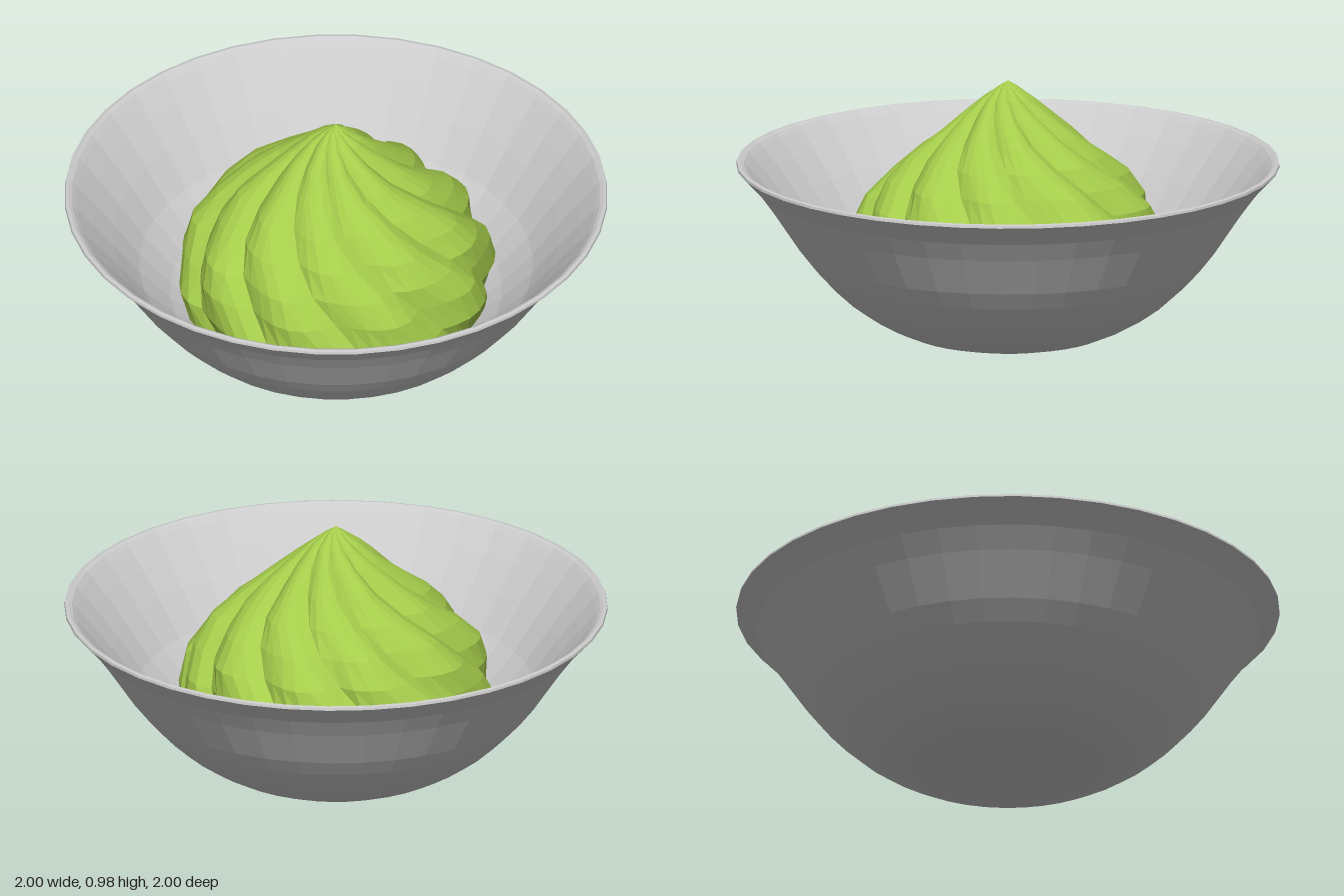
import * as THREE from 'three';

const LOBES = 10, STEPS = 6, TWIST = 2;

// Bowl: outer wall up, rounded lip, inner wall down to the floor
function makeBowl() {
  const profile = [
    [0, 0], [0.2, 0], [0.28, 0.012], [0.37, 0.035], [0.45, 0.07], [0.52, 0.11], [0.59, 0.16], [0.655, 0.22],
    [0.715, 0.285], [0.77, 0.355], [0.82, 0.43], [0.87, 0.505], [0.925, 0.58], [0.985, 0.645],
    [1, 0.66], [0.998, 0.669], [0.985, 0.672], [0.972, 0.665],
    [0.955, 0.647], [0.895, 0.575], [0.82, 0.48], [0.725, 0.35], [0.61, 0.23], [0.49, 0.135], [0.36, 0.07], [0.2, 0.035], [0, 0.035],
  ].map((p) => new THREE.Vector2(...p));
  const bowl = new THREE.Mesh(
    new THREE.LatheGeometry(profile, 40),
    new THREE.MeshStandardMaterial({ color: 0xcccccc, flatShading: true }));
  bowl.name = 'bowl';
  return bowl;
}

// Piped swirl: twisted rings of lobes shrinking towards a pointed tip
function makeSwirl() {
  // radius, height and lobe depth of each ring, from the tucked-in foot to the tip
  const rings = [[0.3, 0.06, 0.04], [0.46, 0.14, 0.04], [0.56, 0.23, 0.045], [0.585, 0.33, 0.06],
    [0.565, 0.44, 0.08], [0.525, 0.53, 0.1], [0.45, 0.62, 0.12], [0.36, 0.7, 0.14],
    [0.255, 0.78, 0.16], [0.165, 0.855, 0.16], [0.095, 0.915, 0.15], [0.04, 0.955, 0.13]];
  const sides = LOBES * STEPS;
  const positions = [], index = [];
  rings.forEach(([r, y, depth], j) => {
    const turn = -TWIST * Math.pow(1 - j / (rings.length - 1), 0.9);
    for (let i = 0; i < sides; i++) {
      // each lobe is a leaning hump with a sharp valley on either side
      const t = (i % STEPS) / STEPS;
      const hump = Math.sin(Math.PI * Math.pow(t, 0.75));
      const wobble = 1 + 0.014 * Math.sin(i * 0.9 + j * 2.3);
      const rr = r * (1 - depth + (depth + 0.005) * hump) * wobble;
      const a = (i / sides) * Math.PI * 2 + turn;
      positions.push(Math.cos(a) * rr, y, Math.sin(a) * rr);
    }
  });
  const tip = positions.length / 3;
  positions.push(0, 0.98, 0, 0, 0.06, 0);
  const last = (rings.length - 1) * sides;
  for (let i = 0; i < sides; i++) {
    const n = (i + 1) % sides;
    for (let j = 0; j < rings.length - 1; j++) {
      const a = j * sides + i, b = j * sides + n;
      index.push(a, a + sides, b, b, a + sides, b + sides);
    }
    index.push(last + i, tip, last + n, i, n, tip + 1);
  }
  const geometry = new THREE.BufferGeometry();
  geometry.setAttribute('position', new THREE.Float32BufferAttribute(positions, 3));
  geometry.setIndex(index);
  geometry.computeVertexNormals();
  const swirl = new THREE.Mesh(geometry,
    new THREE.MeshStandardMaterial({ color: 0xa5cc4b, flatShading: true }));
  swirl.name = 'swirl';
  return swirl;
}

export function createModel() {
  const group = new THREE.Group();
  group.name = 'bowlWithSwirl';
  group.add(makeBowl(), makeSwirl());
  return group;
}
